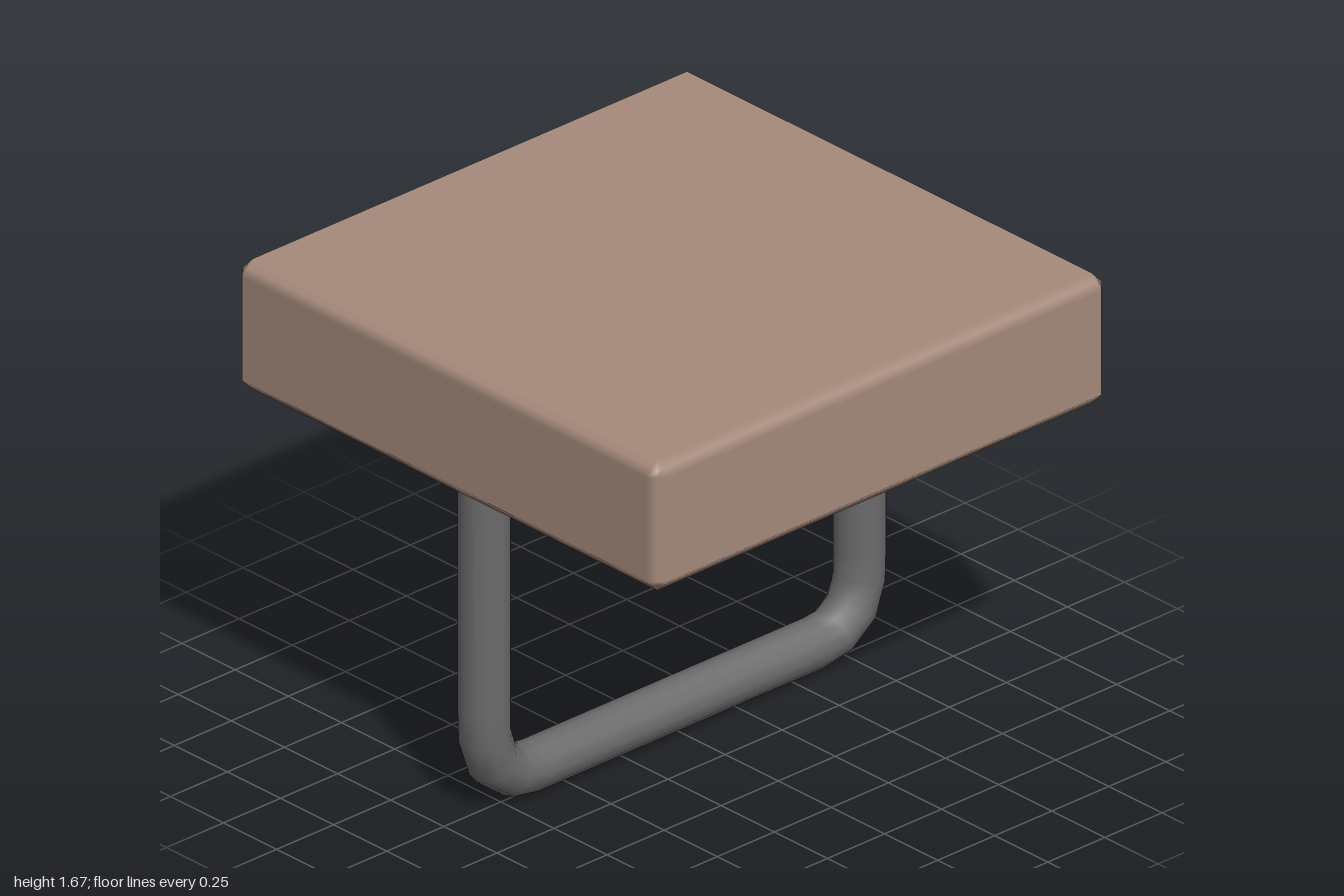
import * as THREE from 'three';

const wood = new THREE.MeshStandardMaterial({ name: 'brown seat', color: 0xa58a7b });
const metal = new THREE.MeshStandardMaterial({ name: 'grey metal', color: 0x6b6b6b });

// Box with a single chamfer on every edge, shaded smoothly across the chamfers
function bevelledBox(w, h, d, bevel) {
  const geo = new THREE.BoxGeometry(1, 1, 1, 3, 3, 3);
  const pos = geo.attributes.position;
  const half = [w / 2, h / 2, d / 2];
  for (let i = 0; i < pos.count; i++) {
    const p = [pos.getX(i), pos.getY(i), pos.getZ(i)];
    const outer = p.map((c) => Math.abs(c) > 0.4);
    const n = outer.filter(Boolean).length; // 1 face, 2 edge, 3 corner
    const q = p.map((c, k) => Math.sign(c) * (half[k] - bevel * (outer[k] ? (n - 1) / n : 1)));
    const normal = new THREE.Vector3(...p.map((c, k) => (outer[k] ? Math.sign(c) : 0))).normalize();
    pos.setXYZ(i, ...q);
    geo.attributes.normal.setXYZ(i, normal.x, normal.y, normal.z);
  }
  return geo;
}

// Path with one tube ring on each given point
class BentPath extends THREE.Curve {
  constructor(points) {
    super();
    this.points = points;
  }
  getPoint(t, target = new THREE.Vector3()) {
    const s = t * (this.points.length - 1);
    const i = Math.min(Math.floor(s + 1e-6), this.points.length - 2);
    return target.lerpVectors(this.points[i], this.points[i + 1], s - i);
  }
  getPointAt(u, target) {
    return this.getPoint(u, target);
  }
  getTangentAt(u, target = new THREE.Vector3()) {
    const last = this.points.length - 1;
    const i = Math.round(u * last);
    const dir = (a) => this.points[a + 1].clone().sub(this.points[a]).normalize();
    return target.copy(dir(Math.max(i - 1, 0))).add(dir(Math.min(i, last - 1))).normalize();
  }
}

export function createModel() {
  const group = new THREE.Group();
  group.name = 'stool';

  // Thick square seat
  const seat = new THREE.Mesh(bevelledBox(2, 0.475, 2, 0.05), wood);
  seat.name = 'seat';
  seat.position.y = 1.4375;
  group.add(seat);

  // U-shaped bent tube: one half, then its mirror
  const right = [
    [-0.823, 1.21], [-0.823, 0.37], [-0.82, 0.265],
    [-0.786, 0.162], [-0.704, 0.1], [-0.62, 0.0875],
  ];
  const left = right.map(([x, y]) => [-x, y]).reverse();
  const path = new BentPath([...right, ...left].map(([x, y]) => new THREE.Vector3(x, y, 0)));
  const frame = new THREE.Mesh(new THREE.TubeGeometry(path, path.points.length - 1, 0.0875, 12), metal);
  frame.name = 'bentTubeLeg';
  group.add(frame);

  return group;
}
